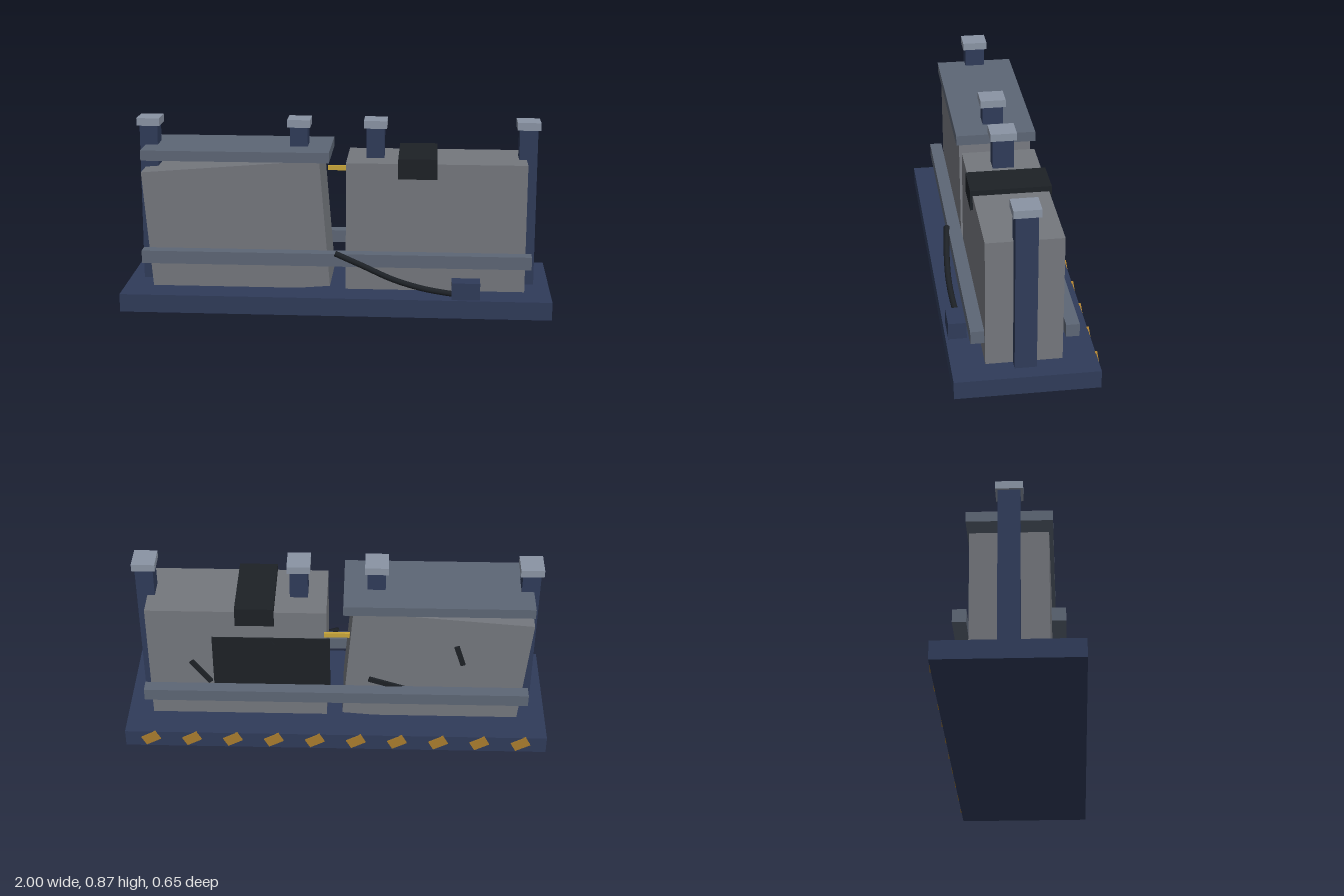
import * as THREE from 'three';

const material = (color) => new THREE.MeshStandardMaterial({ color, flatShading: true });

export function createModel() {
  const model = new THREE.Group();
  const navy = material(0x2f3b59);
  const concrete = material(0x74777d);
  const steel = material(0x5d6675);
  const capGrey = material(0x8a94a4);
  const black = material(0x1d2126);
  const yellow = material(0xc9a63a);
  const amber = material(0xa87c2e);
  const midZ = 0.004;

  // Box given by its size and centre, optionally rolled about z
  const box = (name, mat, [w, h, d], [x, y, z], roll = 0) => {
    const mesh = new THREE.Mesh(new THREE.BoxGeometry(w, h, d), mat);
    mesh.name = name;
    mesh.position.set(x, y, z);
    mesh.rotation.z = roll;
    model.add(mesh);
    return mesh;
  };

  // Base plinth
  box('base', navy, [2, 0.085, 0.642], [0, 0.0425, midZ]);

  // Two slabs: one upright, one leaning
  const slab = [0.835, 0.605, 0.34];
  box('uprightSlab', concrete, slab, [0.4625, 0.3875, midZ]);
  box('leaningSlab', concrete, slab, [-0.47, 0.365, midZ], 0.082);

  // Posts with caps
  for (const x of [-0.892, -0.183, 0.176, 0.887]) {
    box('post', navy, [0.084, 0.747, 0.097], [x, 0.4585, midZ]);
    box('postCap', capGrey, [0.108, 0.036, 0.12], [x, 0.849, midZ]);
  }

  // Side rails and cover plate
  for (const side of [-1, 1]) {
    box('sideRail', steel, [1.812, 0.06, 0.06], [0, 0.243, midZ + side * 0.207]);
  }
  box('coverPlate', steel, [0.875, 0.048, 0.374], [-0.47, 0.716, midZ]);

  // Strap folded over the upright slab
  box('strapTop', black, [0.18, 0.025, 0.363], [0.376, 0.7025, midZ]);
  for (const side of [-1, 1]) {
    box('strapFlap', black, [0.18, 0.07, 0.0115], [0.376, 0.655, midZ + side * 0.17575]);
  }

  // Dark panel on the back of the upright slab
  box('backPanel', black, [0.55, 0.36, 0.007], [0.303, 0.365, -0.1685]);

  // Cracks on the back faces, each from one end to the other
  const cracks = [
    [0.68, 0.402, 0.593, 0.283],
    [0.384, 0.458, 0.292, 0.519],
    [-0.154, 0.312, -0.36, 0.245],
    [-0.56, 0.512, -0.593, 0.407],
  ];
  for (const [x0, y0, x1, y1] of cracks) {
    box('crack', black, [Math.hypot(x1 - x0, y1 - y0), 0.024, 0.014],
      [(x0 + x1) / 2, (y0 + y1) / 2, -0.171], Math.atan2(y1 - y0, x1 - x0));
  }

  // Bar bridging the gap between the slabs
  box('bridgeBar', yellow, [0.118, 0.023, 0.012], [-0.004, 0.585, -0.1875]);

  // Slanted warning marks along the back of the base
  for (let i = 0; i < 10; i++) {
    box('warningMark', amber, [0.078, 0.05, 0.01], [-0.8775 + i * 0.195, 0.05, -0.319], -0.5);
  }

  // Junction box and its cable
  box('junctionBox', navy, [0.13, 0.08, 0.083], [0.605, 0.125, 0.2715]);
  const path = new THREE.CatmullRomCurve3([
    [0, 0.278, 0.247], [0.13, 0.225, 0.262], [0.27, 0.165, 0.27],
    [0.41, 0.122, 0.265], [0.56, 0.092, 0.25],
  ].map((p) => new THREE.Vector3(...p)));
  const cable = new THREE.Mesh(
    new THREE.TubeGeometry(path, 24, 0.014, 8),
    new THREE.MeshStandardMaterial({ color: 0x1d2126, side: THREE.DoubleSide }),
  );
  cable.name = 'cable';
  model.add(cable);

  return model;
}
